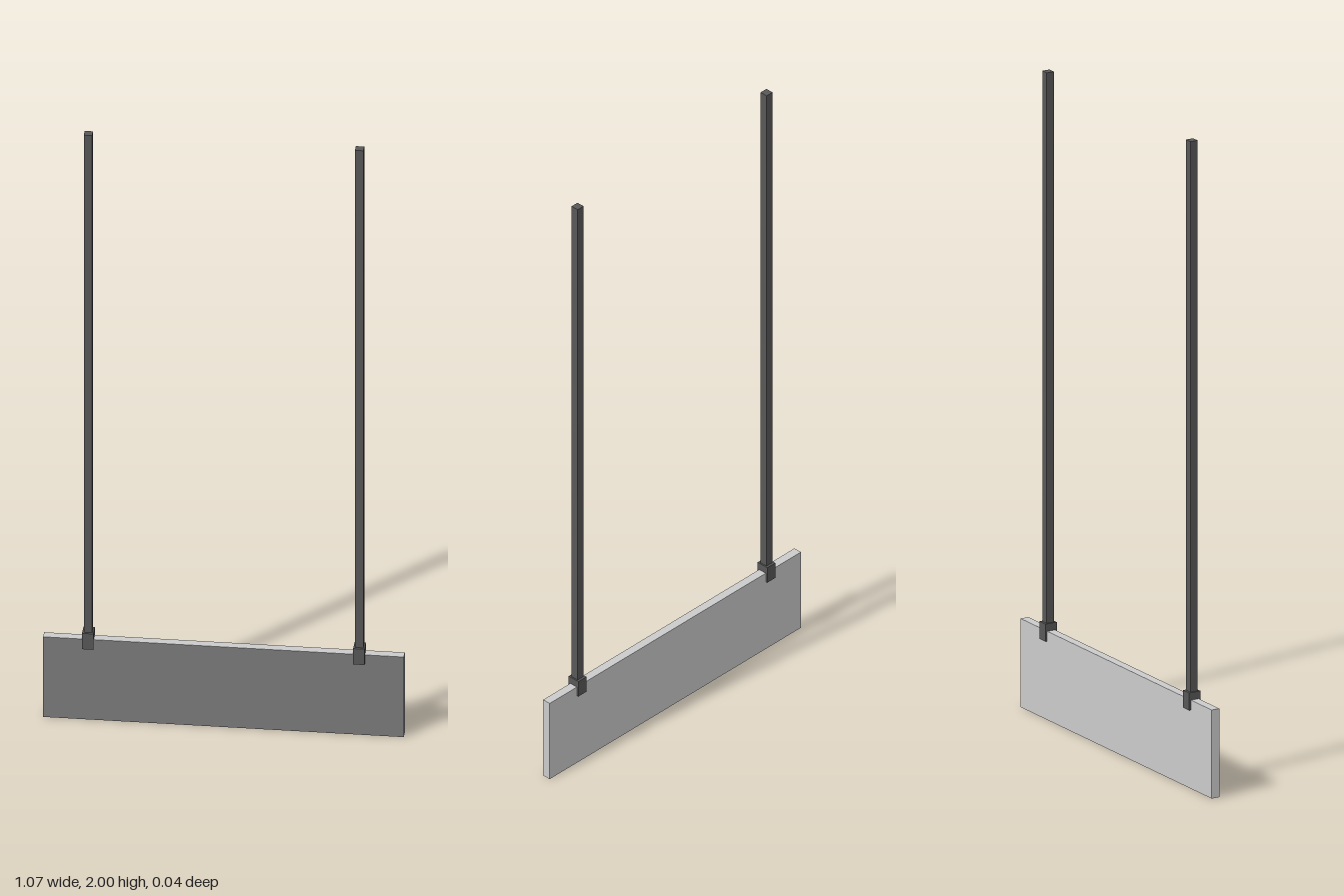
import * as THREE from 'three';

export function createModel() {
  const model = new THREE.Group();
  const mat = (color) => new THREE.MeshStandardMaterial({ color, flatShading: true });
  const light = mat(0xcccccc), face = mat(0x7c7c7c), dark = mat(0x585858);

  const add = (name, geometry, material, x, y, z) => {
    const mesh = new THREE.Mesh(geometry, material);
    mesh.name = name;
    mesh.position.set(x, y, z);
    model.add(mesh);
  };

  // Hanging board with a darker front face
  const width = 1.072, height = 0.274, depth = 0.027;
  add('board', new THREE.BoxGeometry(width, height, depth), light, 0, height / 2, 0);
  add('boardFace', new THREE.PlaneGeometry(width, height), face, 0, height / 2, depth / 2 + 0.0005);

  // Inverted U section of the clip, straddling the top edge of the board
  const outer = 0.02, inner = depth / 2, clipBottom = 0.243, clipTop = 0.297, clipWidth = 0.034;
  const section = new THREE.Shape([
    [-outer, clipBottom], [-inner, clipBottom], [-inner, height], [inner, height],
    [inner, clipBottom], [outer, clipBottom], [outer, clipTop], [-outer, clipTop],
  ].map(([x, y]) => new THREE.Vector2(x, y)));
  const clip = new THREE.ExtrudeGeometry(section, { depth: clipWidth, bevelEnabled: false });
  clip.translate(0, 0, -clipWidth / 2).rotateY(Math.PI / 2);

  // Square rods rising from the clips
  const rodLength = 2 - clipTop;
  const rod = new THREE.BoxGeometry(0.025, rodLength, 0.025);
  for (const [side, x] of [['left', 0.403], ['right', -0.403]]) {
    add(side + 'Clip', clip, dark, x, 0, 0);
    add(side + 'Rod', rod, dark, x, clipTop + rodLength / 2, 0);
  }
  return model;
}
